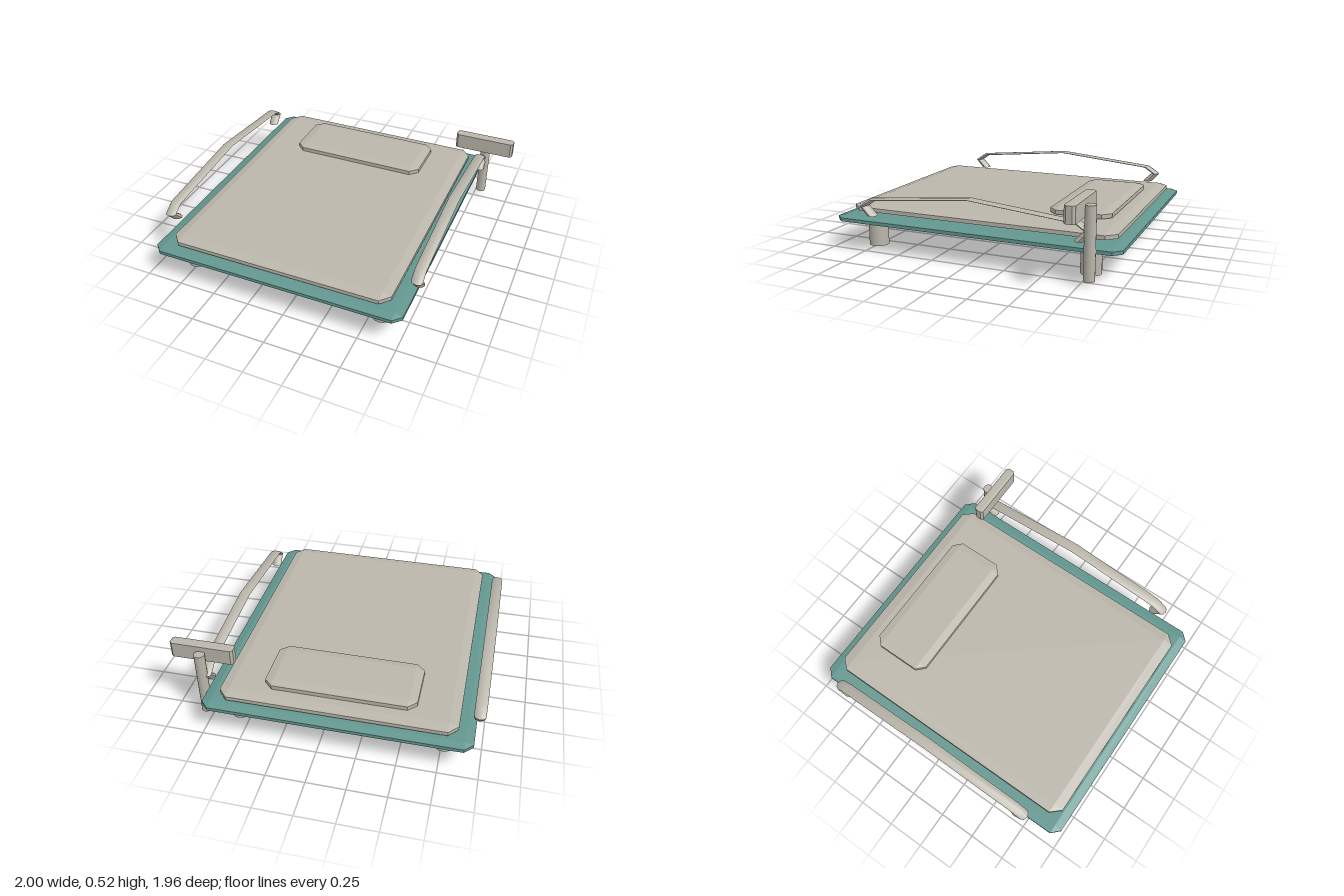
import * as THREE from 'three';
import { toCreasedNormals } from 'three/addons/utils/BufferGeometryUtils.js';
import { ConvexGeometry } from 'three/addons/geometries/ConvexGeometry.js';

// Box with all edges chamfered; min and max corners, chamfer depth per axis
function chamferBox([x0, y0, z0], [x1, y1, z1], [bx, by, bz]) {
  const points = [];
  for (const sx of [-1, 1]) for (const sy of [-1, 1]) for (const sz of [-1, 1]) {
    const x = sx < 0 ? x0 : x1, y = sy < 0 ? y0 : y1, z = sz < 0 ? z0 : z1;
    points.push(
      new THREE.Vector3(x, y - sy * by, z - sz * bz),
      new THREE.Vector3(x - sx * bx, y, z - sz * bz),
      new THREE.Vector3(x - sx * bx, y - sy * by, z));
  }
  return new ConvexGeometry(points);
}

// Flattened rail swept through sections given by outer and inner [z, y] points
function railGeometry() {
  const half = [
    [0.735, 0.256, 0.668, 0.256],
    [0.788, 0.318, 0.732, 0.32],
    [0.708, 0.372, 0.672, 0.36],
  ];
  const sections = [
    ...half,
    [0, 0.44, 0, 0.426],
    ...half.slice().reverse().map(([a, b, c, d]) => [-a, b, -c, d]),
  ];
  const sides = 8, halfWidth = 0.037, positions = [], index = [];
  for (const [oz, oy, iz, iy] of sections) {
    for (let i = 0; i < sides; i++) {
      const a = (i / sides) * Math.PI * 2, s = Math.sin(a) / 2;
      positions.push(Math.cos(a) * halfWidth, (oy + iy) / 2 + s * (oy - iy), (oz + iz) / 2 + s * (oz - iz));
    }
  }
  for (let j = 0; j < sections.length - 1; j++) {
    for (let i = 0; i < sides; i++) {
      const a = j * sides + i, b = j * sides + (i + 1) % sides;
      index.push(a, b, b + sides, a, b + sides, a + sides);
    }
  }
  // End caps
  const last = (sections.length - 1) * sides;
  for (let i = 1; i < sides - 1; i++) {
    index.push(0, i + 1, i, last, last + i, last + i + 1);
  }
  const geometry = new THREE.BufferGeometry();
  geometry.setAttribute('position', new THREE.Float32BufferAttribute(positions, 3));
  geometry.setIndex(index);
  return toCreasedNormals(geometry, 0.85);
}

export function createModel() {
  const group = new THREE.Group();
  const grey = new THREE.MeshStandardMaterial({ color: 0xbab6ab });
  grey.name = 'warm grey';
  const teal = new THREE.MeshStandardMaterial({ color: 0x62968f });
  teal.name = 'teal';
  const railGrey = grey.clone();
  railGrey.name = 'rail warm grey';
  railGrey.side = THREE.DoubleSide;

  const add = (name, geometry, material, x = 0, y = 0, z = 0) => {
    const mesh = new THREE.Mesh(geometry, material);
    mesh.name = name;
    mesh.position.set(x, y, z);
    group.add(mesh);
  };

  // Bed platform, mattress and pillow
  add('platform', chamferBox([-0.95, 0.173, -0.98], [0.76, 0.222, 0.98], [0.053, 0.013, 0.053]), teal);
  add('mattress', chamferBox([-0.85, 0.229, -0.92], [0.66, 0.283, 0.915], [0.06, 0.014, 0.065]), grey);
  add('pillow', chamferBox([-0.583, 0.276, -0.807], [0.388, 0.328, -0.397], [0.055, 0.012, 0.053]), grey);

  // Legs
  const leg = new THREE.CylinderGeometry(0.067, 0.067, 0.176, 16);
  for (const x of [-0.765, 0.573]) for (const z of [-0.752, 0.757]) add('leg', leg, grey, x, 0.088, z);

  // Side rails
  const rail = railGeometry();
  for (const x of [-0.963, 0.77]) add('sideRail', rail, railGrey, x, 0, -0.035);

  // Control panel on its post
  add('panelPost', new THREE.CylinderGeometry(0.035, 0.035, 0.454, 16), grey, 0.792, 0.257, -0.806);
  add('controlPanel', chamferBox([0.583, 0.41, -0.78], [1, 0.523, -0.712], [0.015, 0.004, 0.015]), grey);

  return group;
}
